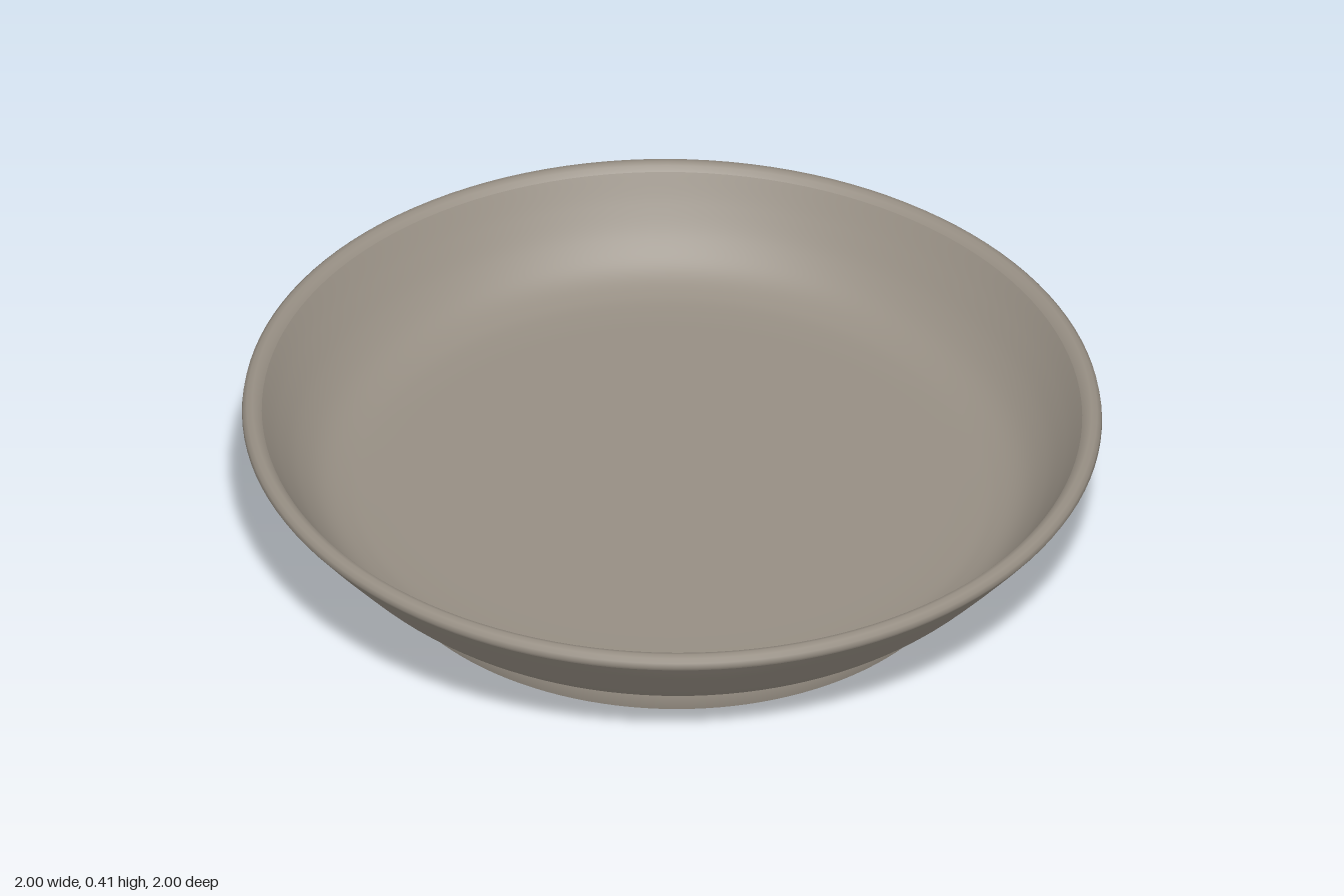
import * as THREE from 'three';

const clay = new THREE.MeshStandardMaterial({ color: 0x968e83 });
clay.name = 'greyClay';

// slight warp of the whole dish: left and back sit a little higher
const tilt = (x, z) => -0.01 * x - 0.007 * z;

// turned surface from [radius, height] points, warped by the tilt
function turned(name, points, rule = () => 0) {
  const geo = new THREE.LatheGeometry(points.map(([r, y]) => new THREE.Vector2(r, y)), 128);
  const p = geo.attributes.position;
  for (let i = 0; i < p.count; i++) {
    const x = p.getX(i), y = p.getY(i), z = p.getZ(i);
    p.setY(i, y + tilt(x, z) + rule(x, y, z));
  }
  const mesh = new THREE.Mesh(geo, clay);
  mesh.name = name;
  return mesh;
}

// ragged lower edge on the damaged side of the foot
function ragged(x, y, z) {
  if (y > 0.06 || x < 0) return 0;
  const a = Math.atan2(z, x);
  const mask = THREE.MathUtils.smoothstep(a, -1.3, -0.9) * (1 - THREE.MathUtils.smoothstep(a, -0.05, 0.25));
  return mask * (0.008 + 0.010 * Math.sin(a * 31) + 0.007 * Math.sin(a * 57 + 1));
}

export function createModel() {
  const dish = new THREE.Group();
  dish.name = 'dish';

  // sloping outer wall
  const outer = new THREE.SplineCurve([
    [0.695, 0.105], [0.715, 0.122], [0.78, 0.137], [0.835, 0.178], [0.9, 0.25], [0.955, 0.315], [0.993, 0.362],
  ].map(([r, y]) => new THREE.Vector2(r, y))).getPoints(36).map(v => [v.x, v.y]);
  dish.add(turned('outerWall', outer));

  // rounded lip
  dish.add(turned('rim', [
    [0.993, 0.362], [0.999, 0.372], [0.997, 0.384], [0.988, 0.392], [0.975, 0.395], [0.963, 0.391], [0.953, 0.38],
  ]));

  // curved inner wall running into the flat floor
  const inner = new THREE.SplineCurve([
    [0.953, 0.38], [0.915, 0.315], [0.87, 0.25], [0.82, 0.2], [0.765, 0.172], [0.7, 0.16], [0.55, 0.157], [0, 0.157],
  ].map(([r, y]) => new THREE.Vector2(r, y))).getPoints(48).map(v => [Math.max(0, v.x), v.y]);
  dish.add(turned('innerBowl', inner));

  // foot ring: outside, narrow underside, inside
  dish.add(turned('footOutside', [[0.697, 0.036], [0.702, 0.06], [0.7, 0.085], [0.695, 0.105]], ragged));
  dish.add(turned('footUnderside', [[0.672, 0.036], [0.685, 0.031], [0.697, 0.036]], ragged));
  dish.add(turned('footInside', [[0.662, 0.122], [0.668, 0.08], [0.672, 0.036]], ragged));

  // recessed base
  dish.add(turned('base', [[0, 0.122], [0.662, 0.122]]));

  // lumps of clay stuck to the damaged part of the foot: x, y, z, size
  const lumps = new THREE.Group();
  lumps.name = 'footLumps';
  [
    [0.68, 0.027, -0.17, 0.027], [0.69, 0.035, -0.2, 0.03], [0.69, 0.04, -0.05, 0.025],
    [0.67, 0.035, -0.1, 0.02], [0.7, 0.07, -0.15, 0.025], [0.69, 0.045, 0.04, 0.02],
    [0.62, 0.05, -0.33, 0.022], [0.4, 0.05, -0.57, 0.02],
  ].forEach(([x, y, z, s]) => {
    const lump = new THREE.Mesh(new THREE.IcosahedronGeometry(1, 2), clay);
    lump.name = 'lump';
    lump.position.set(x, y, z);
    lump.scale.set(s * 0.8, s, s * 1.2);
    lumps.add(lump);
  });
  dish.add(lumps);
  return dish;
}
